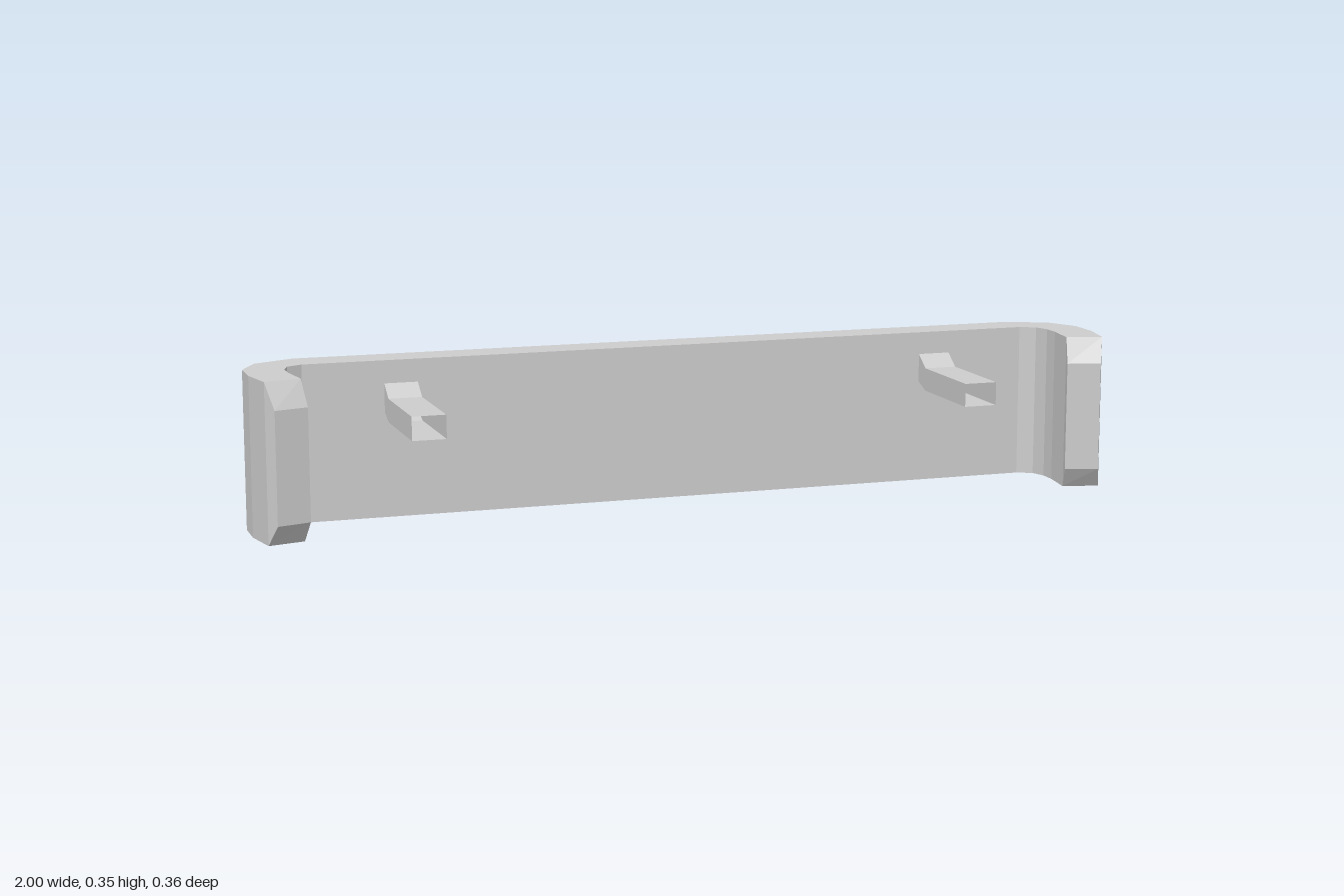
import * as THREE from 'three';

const HEIGHT = 0.355;

// Joins cross-section rings of four corners with flat quads.
function loft(rings, capped) {
  const pos = [];
  const quad = (a, b, c, d) => pos.push(...a, ...b, ...c, ...a, ...c, ...d);
  for (let i = 0; i < rings.length - 1; i++) {
    const p = rings[i], q = rings[i + 1];
    for (let j = 0; j < 4; j++) {
      const k = (j + 1) % 4;
      quad(p[j], p[k], q[k], q[j]);
    }
  }
  if (capped) {
    quad(...[...rings[0]].reverse());
    quad(...rings[rings.length - 1]);
  }
  const g = new THREE.BufferGeometry();
  g.setAttribute('position', new THREE.Float32BufferAttribute(pos, 3));
  g.computeVertexNormals();
  return g;
}

export function createModel() {
  const group = new THREE.Group();
  const grey = new THREE.MeshStandardMaterial({ color: 0xcccccc, side: THREE.DoubleSide });
  grey.name = 'light grey';

  // Bumper bar: outer x, z, inner x, z, bottom and top of each section on one side
  const sections = [
    [0.868, -0.178, 0.865, -0.09, 0, HEIGHT],
    [0.962, -0.134, 0.9, -0.072, 0, HEIGHT],
    [1, -0.06, 0.912, -0.037, 0, HEIGHT],
    [1, 0.02, 0.912, 0.005, 0, HEIGHT],
    [0.982, 0.11, 0.9, 0.09, 0, HEIGHT],
    [0.966, 0.139, 0.891, 0.117, 0.047, 0.297], // bevelled tip
  ];
  const ring = (s) => ([ox, oz, ix, iz, y0, y1]) =>
    [[s * ox, y0, oz], [s * ox, y1, oz], [s * ix, y1, iz], [s * ix, y0, iz]];
  const rings = [...[...sections].reverse().map(ring(-1)), ...sections.map(ring(1))];
  const bar = new THREE.Mesh(loft(rings, true), grey);
  bar.name = 'bumperBar';
  group.add(bar);

  // Hollow mounting brackets: z, bottom and top of each section, open at the front
  const steps = [[-0.09, 0.238, 0.303], [-0.05, 0.222, 0.275], [0.178, 0.222, 0.275]];
  for (const [name, x] of [['leftBracket', 0.643], ['rightBracket', -0.643]]) {
    const w = 0.038;
    const tube = steps.map(([z, y0, y1]) =>
      [[x - w, y0, z], [x + w, y0, z], [x + w, y1, z], [x - w, y1, z]]);
    const bracket = new THREE.Mesh(loft(tube, false), grey);
    bracket.name = name;
    group.add(bracket);
  }
  return group;
}
